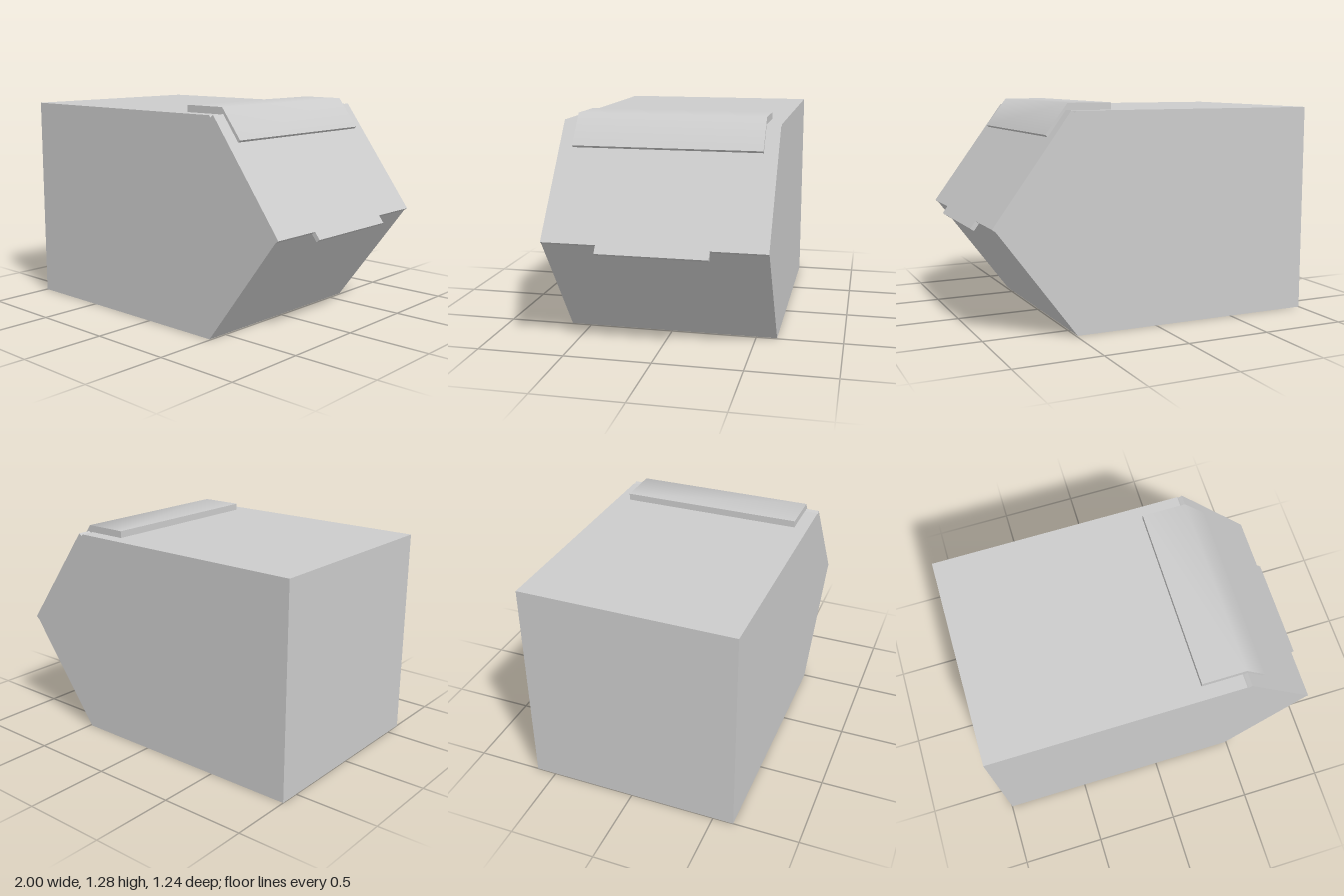
import * as THREE from 'three';
import { toCreasedNormals } from 'three/addons/utils/BufferGeometryUtils.js';

const HALF_WIDTH = 0.62;
const TOP_EDGE = new THREE.Vector3(0.49, 1.24, 0);
const NOSE_EDGE = new THREE.Vector3(0.95, 0.615, 0);

const toShape = (points) => new THREE.Shape(points.map(([x, y]) => new THREE.Vector2(x, y)));

// Side profile extruded evenly about z = 0
function extrudeProfile(points, halfWidth) {
  const geometry = new THREE.ExtrudeGeometry(toShape(points), { depth: halfWidth * 2, bevelEnabled: false });
  return geometry.translate(0, 0, -halfWidth);
}

export function createModel() {
  const group = new THREE.Group();
  const material = new THREE.MeshStandardMaterial({ color: 0xcccccc });
  const add = (name, geometry) => {
    const mesh = new THREE.Mesh(geometry, material);
    mesh.name = name;
    group.add(mesh);
    return mesh;
  };

  // Box body with a pointed nose
  add('body', extrudeProfile([
    [-1, 0], [0.49, 0], [NOSE_EDGE.x, NOSE_EDGE.y], [TOP_EDGE.x, TOP_EDGE.y], [-1, 1.24],
  ], HALF_WIDTH));

  // Thin lid on the upper slope, with a pull tab past its lower edge
  const upSlope = TOP_EDGE.clone().sub(NOSE_EDGE);
  const length = upSlope.length() - 0.015;
  upSlope.normalize();
  const outward = new THREE.Vector3(upSlope.y, -upSlope.x, 0);
  const tab = 0.31;
  const lid = new THREE.ExtrudeGeometry(toShape([
    [-HALF_WIDTH, 0], [-tab, 0], [-tab, -0.05], [tab, -0.05], [tab, 0],
    [HALF_WIDTH, 0], [HALF_WIDTH, length], [-HALF_WIDTH, length],
  ]), { depth: 0.025, bevelEnabled: false });
  lid.applyMatrix4(new THREE.Matrix4()
    .makeBasis(new THREE.Vector3(0, 0, -1), upSlope, outward)
    .setPosition(NOSE_EDGE));
  add('lid', lid);

  // Bent hinge strip, smooth across its fold
  const hinge = extrudeProfile([
    [0.25, 1.24], [0.49, 1.24], [0.61, 1.085], [0.64, 1.11], [0.51, 1.28], [0.25, 1.28],
  ], 0.54);
  add('hingeStrip', toCreasedNormals(hinge, THREE.MathUtils.degToRad(60)));

  return group;
}
